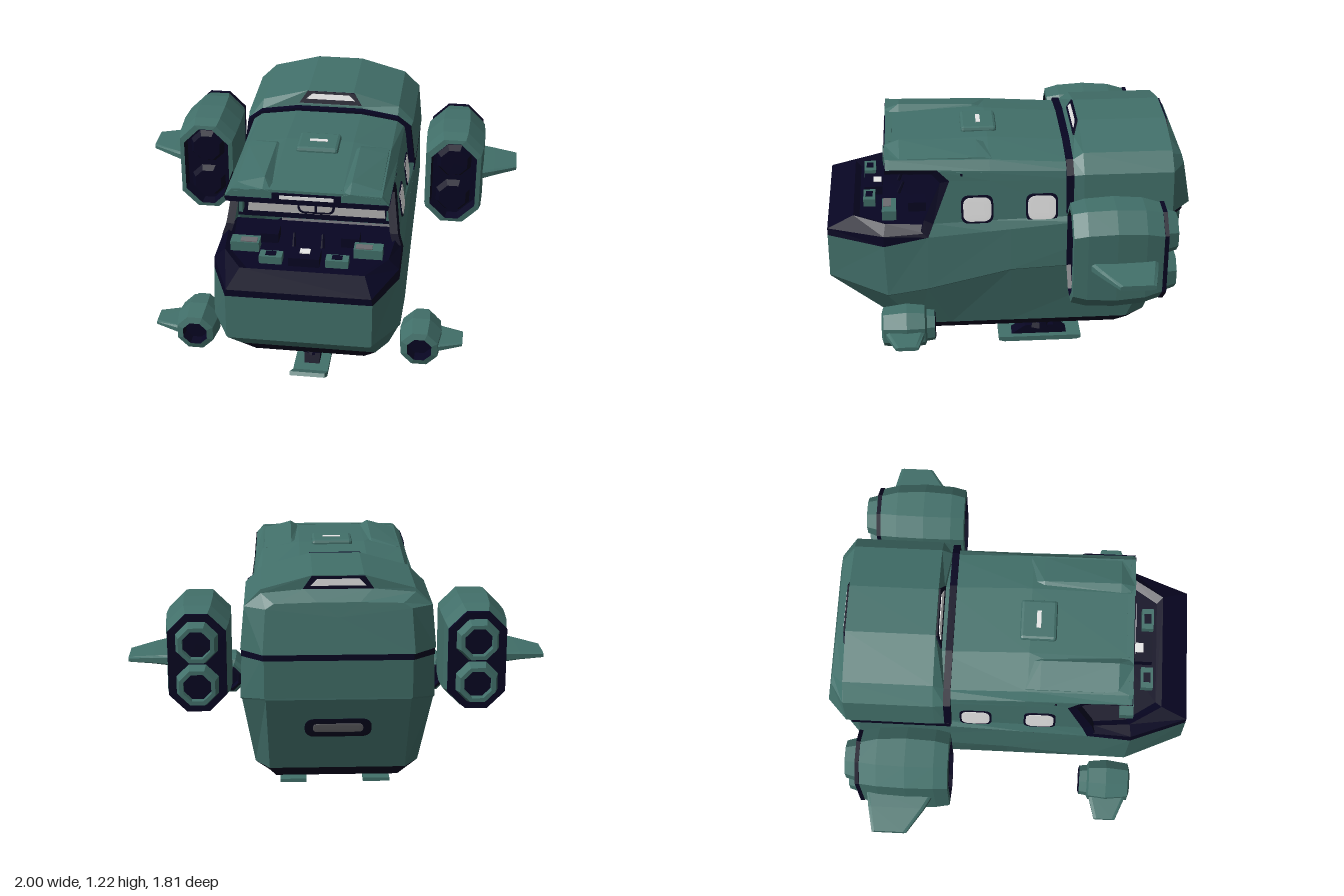
import * as THREE from 'three';
import { RoundedBoxGeometry } from 'three/addons/geometries/RoundedBoxGeometry.js';

const material = (name, color) => {
  const m = new THREE.MeshStandardMaterial({ color, side: THREE.DoubleSide });
  m.name = name;
  return m;
};

// Faceted surface through rows of [x, y, z] points
function loft(rows, { closed = true, capStart = false, capEnd = false } = {}) {
  const out = [], n = rows[0].length;
  const tri = (a, b, c) => out.push(...a, ...b, ...c);
  for (let i = 0; i < rows.length - 1; i++) {
    for (let j = 0; j < (closed ? n : n - 1); j++) {
      const k = (j + 1) % n, a = rows[i][j], b = rows[i][k], c = rows[i + 1][k], d = rows[i + 1][j];
      tri(a, b, c);
      tri(a, c, d);
    }
  }
  const cap = (row, flip) => {
    const mid = [0, 1, 2].map(q => row.reduce((s, p) => s + p[q], 0) / n);
    row.forEach((p, j) => flip ? tri(mid, row[(j + 1) % n], p) : tri(mid, p, row[(j + 1) % n]));
  };
  if (capStart) cap(rows[0], true);
  if (capEnd) cap(rows[rows.length - 1], false);
  const g = new THREE.BufferGeometry();
  g.setAttribute('position', new THREE.Float32BufferAttribute(out, 3));
  return g;
}

// Adds the mirrored half of a point row
const sym = pts => [...pts, ...pts.slice().reverse().map(([x, y, z]) => [-x, y, z])];
const atZ = (pts, z) => sym(pts.map(([x, y]) => [x, y, z]));

// Octagon with cut corners
const oct = (cx, cy, hw, hh, c, z) => [[hw, -hh + c], [hw, hh - c], [hw - c, hh], [-hw + c, hh],
  [-hw, hh - c], [-hw, -hh + c], [-hw + c, -hh], [hw - c, -hh]].map(([x, y]) => [cx + x, cy + y, z]);

const box = (w, h, d, x, y, z) => new THREE.BoxGeometry(w, h, d).translate(x, y, z);

// Extrudes a side outline of [z, y] points between two x positions
function sideExtrude(pts, x0, x1) {
  const s = new THREE.Shape(pts.map(([z, y]) => new THREE.Vector2(-z, y)));
  return new THREE.ExtrudeGeometry(s, { depth: x1 - x0, bevelEnabled: false }).rotateY(Math.PI / 2).translate(x0, 0, 0);
}

// Extrudes a front outline of [x, y] points forward from z
const frontExtrude = (pts, depth, z) => new THREE.ExtrudeGeometry(
  new THREE.Shape(pts.map(p => new THREE.Vector2(...p))), { depth, bevelEnabled: false }).translate(0, 0, z);

export function createModel() {
  const root = new THREE.Group();
  root.name = 'dropship';
  const green = material('teal green', 0x42706a);
  const dark = material('dark navy', 0x070522);
  const light = material('pale grey', 0xececec);
  const grey = material('interior grey', 0xb6b4b4);
  const smoke = material('smoky grey', 0x6c6c70);

  const add = (name, geo, mat) => {
    const g = geo.index ? geo.toNonIndexed() : geo;
    g.computeVertexNormals();
    const mesh = new THREE.Mesh(g, mat);
    mesh.name = name;
    root.add(mesh);
  };
  const addPair = (name, geo, mat) => {
    const g = geo.index ? geo.toNonIndexed() : geo;
    const m = g.clone(), p = m.attributes.position;
    for (let i = 0; i < p.count; i += 3) {
      const [a, b, c] = [0, 2, 1].map(k => new THREE.Vector3().fromBufferAttribute(g.attributes.position, i + k));
      [a, b, c].forEach((v, k) => p.setXYZ(i + k, -v.x, v.y, v.z));
    }
    add(name + 'Left', g, mat);
    add(name + 'Right', m, mat);
  };

  // Lower hull: rings of nose, shoulder, cockpit corner, middle, rear corner, tail
  const keel = sym([[.28, .15, .51], [.33, .15, .44], [.33, .15, .3], [.33, .15, 0], [.33, .15, -.55], [.3, .15, -.62]]);
  const chine = sym([[.34, .22, .57], [.40, .22, .47], [.40, .22, .3], [.40, .22, 0], [.40, .22, -.6], [.33, .22, -.70]]);
  const crease = sym([[.35, .50, .91], [.465, .435, .62], [.472, .47, .42], [.472, .568, 0], [.465, .60, -.74], [.35, .63, -.85]]);
  const underCrease = crease.map(([x, y, z]) => [x * .982, y - .008, z]);
  const sill = sym([[.35, .73, .91], [.455, .71, .63], [.455, .755, .41], [.455, .788, 0], [.455, .85, -.75], [.35, .85, -.86]]);
  add('belly', loft([keel, chine], { capStart: true }), dark);
  add('lowerHull', loft([chine, underCrease, crease, sill]), green);

  // Cockpit rim and floor
  const rimLow = sym([[.455, .755, .41], [.455, .71, .63], [.35, .73, .91]]);
  const rimMid = sym([[.447, .775, .42], [.452, .765, .63], [.345, .765, .91]]);
  const rimTop = sym([[.415, .81, .44], [.40, .81, .62], [.30, .81, .78]]);
  const floor = sym([[.40, .79, .28], [.37, .79, .60], [.27, .79, .75]]);
  add('cockpitRim', loft([rimLow, rimMid, rimTop, floor], { closed: false }), dark);
  add('cockpitFloor', loft([floor, floor], { capEnd: true }), dark);

  // Cabin walls and roof
  const cabinFront = sym([[.455, .755, .41], [.432, .82, .385], [.402, 1.04, .30], [.397, 1.09, .36], [.395, 1.105, .60], [.36, 1.14, .60], [.17, 1.148, .60]]);
  const cabinMid = sym([[.455, .78, .1], [.431, .83, .1], [.403, 1.035, .1], [.397, 1.075, .1], [.395, 1.085, .1], [.36, 1.13, .1], [.17, 1.163, .1]]);
  const cabinRear = sym([[.455, .818, -.35], [.430, .84, -.35], [.408, 1.03, -.35], [.402, 1.06, -.35], [.40, 1.07, -.35], [.36, 1.10, -.35], [.17, 1.128, -.35]]);
  add('cabin', loft([cabinRear, cabinMid, cabinFront], { closed: false }), green);
  add('roofFrontEdge', frontExtrude([[.395, 1.10], [.36, 1.143], [.17, 1.15], [-.17, 1.15], [-.36, 1.143], [-.395, 1.10]], .02, .59), green);
  const ridge = (z, lift) => [[.355, 1.11, z], [.35, 1.135 + lift * .2, z], [.21, 1.155 + lift, z], [.17, 1.14 + lift * .3, z], [.165, 1.11, z]];
  add('roofCrown', box(.33, .02, .03, 0, 1.14, .59), green);
  addPair('roofRidge', loft([ridge(.09, -.01), ridge(.16, .012), ridge(.54, .024), ridge(.612, -.004)], { capStart: true, capEnd: true }), green);
  add('roofHatch', new RoundedBoxGeometry(.21, .04, .18, 1, .015).translate(0, 1.162, .14), green);
  add('hatchPlate', box(.09, .006, .022, 0, 1.182, .14), light);

  // Dark windscreen frame
  const frameOut = [[.457, .755, .41], [.435, .82, .383], [.405, 1.04, .30], [.40, 1.10, .36], [.398, 1.105, .612]];
  const frameIn = [[.446, .785, .445], [.428, .84, .428], [.40, 1.03, .345], [.395, 1.075, .385], [.39, 1.082, .612]];
  addPair('screenFrame', loft([frameOut, frameIn, frameIn.map(([x, y, z]) => [x - .04, y, z])], { closed: false }), dark);
  add('screenHeader', box(.78, .025, .03, 0, 1.09, .60), dark);
  add('cockpitCeiling', box(.78, .008, .36, 0, 1.092, .43), dark);
  add('visorLampFrame', box(.33, .036, .008, 0, 1.118, .612), dark);
  add('visorLamp', box(.26, .018, .006, 0, 1.116, .617), light);

  // Cockpit interior: bulkhead, door, consoles and controls
  add('bulkhead', box(.80, .29, .01, 0, .93, .24), dark);
  add('bulkheadPanel', frontExtrude([[-.35, .82], [.35, .82], [.33, 1.03], [.30, 1.065], [-.30, 1.065], [-.33, 1.03]], .008, .246), grey);
  const doorPlate = (w, h, t, r, x, z) => new RoundedBoxGeometry(w, h, .2, 3, r).scale(1, 1, t / .2).translate(x, .92, z);
  add('doorFrame', doorPlate(.19, .19, .006, .035, 0, .257), dark);
  add('doorPanel', doorPlate(.165, .165, .006, .025, 0, .260), grey);
  add('doorSeam', box(.012, .16, .004, 0, .92, .264), dark);
  addPair('sideConsole', box(.14, .05, .07, .30, .838, .60), green);
  addPair('frontConsole', box(.11, .04, .06, .16, .83, .70), green);
  addPair('sideScreen', box(.08, .005, .04, .28, .866, .61), smoke);
  addPair('frontScreen', box(.05, .005, .035, .16, .853, .70), dark);
  addPair('seatBase', box(.09, .05, .09, .20, .815, .46), dark);
  addPair('wallPanel', box(.018, .19, .05, .37, .95, .31), green);
  add('centreConsole', box(.15, .045, .09, 0, .825, .68), dark);
  add('centreScreen', box(.05, .006, .04, 0, .851, .66), light);
  addPair('controlStick', new THREE.CylinderGeometry(.007, .01, .07, 6).rotateX(-.4).translate(.07, .84, .54), dark);

  // Cabin side windows lean with the wall
  for (const z of [.165, -.155]) {
    const pane = (h, w, t, off) => new RoundedBoxGeometry(.4, h, w, 3, .035).scale(t / .4, 1, 1)
      .rotateZ(.14).translate(.422 + off, .89, z);
    addPair('windowFrame', pane(.146, .158, .009, .002), dark);
    addPair('windowPane', pane(.126, .138, .009, .004), light);
  }

  // Rear upper housing, stepped down behind its crown, with dark collar and band
  const podNose = [[.456, .86], [.43, 1.06], [.36, 1.115], [.17, 1.145]];
  const podFull = [[.46, .86], [.44, 1.07], [.36, 1.15], [.12, 1.215]];
  const podStep = [[.46, .86], [.44, 1.07], [.36, 1.132], [.16, 1.15]];
  const podFront = sym([[.456, .86, -.30], [.43, 1.06, -.30], [.36, 1.115, -.31], [.17, 1.145, -.335]]);
  const podTail = sym([[.355, .86, -.90], [.34, 1.07, -.865], [.30, 1.095, -.86], [.10, 1.10, -.858]]);
  add('rearHousing', loft([podTail, atZ(podStep, -.802), atZ(podFull, -.80), atZ(podFull, -.36), podFront], { capStart: true, capEnd: true }), green);
  const collar = podNose.map(([x, y]) => [x + .002, y + .004]);
  add('housingCollar', loft([atZ(collar, -.31), atZ(collar, -.275)], { closed: false, capEnd: true }), dark);
  const band = y => sym([[.458, y, -.28], [.458, y, -.775], [.353, y, -.866]]);
  add('housingBand', loft([band(.82), band(.862)], { closed: false, capStart: true, capEnd: true }), dark);

  // Lamp strips on the front and rear faces of the housing crown
  const strip = (w, h, slope, y, z) => frontExtrude([[-w, -h], [w, -h], [w * .75, h], [-w * .75, h]], .008, -.004)
    .rotateX(slope).translate(0, y, z);
  add('frontStripFrame', strip(.165, .032, -.33, 1.184, -.343), dark);
  add('frontStripLamp', strip(.13, .014, -.33, 1.19, -.341), light);
  add('rearStripFrame', strip(.165, .03, 0, 1.181, -.805), dark);
  add('rearStripLamp', strip(.13, .016, 0, 1.183, -.808), light);

  // Tail window on the sloping rear face
  const tailPane = (w, h, off) => new RoundedBoxGeometry(w, h, .2, 3, h * .4).scale(1, 1, .04)
    .rotateX(-.35).translate(0, .46, -.785 - off);
  add('tailWindowFrame', tailPane(.32, .11, .003), dark);
  add('tailWindowPane', tailPane(.24, .05, .006), smoke);

  // Main engines
  const ex = .667, ey = .767;
  const er = (hw, hh, z) => oct(ex, ey, hw, hh, .085, z);
  addPair('engineBody', loft([er(.135, .235, -.71), er(.15, .258, -.62), er(.156, .267, -.48), er(.152, .26, -.34),
    er(.143, .245, -.272), er(.12, .225, -.268)], { capStart: true }), green);
  addPair('engineIntake', loft([er(.12, .225, -.268), er(.112, .215, -.32)], { capEnd: true }), dark);
  addPair('engineRearRing', loft([er(.139, .24, -.724), er(.139, .24, -.704)], { capStart: true, capEnd: true }), dark);
  for (const dy of [-.105, .105]) {
    const disc = (r, z) => oct(ex, ey + dy, r, r, r * .586, z);
    addPair('intakeHub', loft([disc(.09, -.32), disc(.07, -.285)], { capEnd: true }), dark);
    addPair('engineNozzle', loft([disc(.066, -.735), disc(.066, -.78), disc(.085, -.78), disc(.102, -.72)]), green);
    addPair('nozzleCore', loft([disc(.066, -.74), disc(.066, -.725)], { capStart: true }), dark);
  }

  // Small front thrusters
  const fr = (r, z) => oct(.565, .315, r, r, r * .586, z);
  addPair('thrusterBody', loft([fr(.07, .39), fr(.075, .43), fr(.094, .44), fr(.104, .53), fr(.09, .645), fr(.06, .655)]), green);
  addPair('thrusterIntake', loft([fr(.06, .655), fr(.055, .60)], { capEnd: true }), dark);
  addPair('thrusterNozzle', loft([fr(.07, .39), fr(.055, .385), fr(.05, .42)], { capEnd: true }), dark);

  // Stub wings with blunt edges
  const foil = (x, y, zr, zf, t) => [[x, y - t * .6, zr], [x, y + t * .6, zr], [x, y + t, zr + .015], [x, y + t, zf - .015],
    [x, y + t * .6, zf], [x, y - t * .6, zf], [x, y - t, zf - .015], [x, y - t, zr + .015]];
  addPair('engineWing', loft([foil(.79, ey, -.68, -.34, .027), foil(.88, ey, -.665, -.39, .02), foil(1, ey - .005, -.64, -.47, .013)], { capEnd: true }), green);
  addPair('thrusterWing', loft([foil(.64, .315, .44, .64, .022), foil(.775, .315, .475, .585, .01)], { capEnd: true }), green);

  // Landing gear: two rear skids and an upturned front ski, with dark soles
  const strut = (x, z) => [
    new THREE.CylinderGeometry(.03, .03, .11, 8).translate(x, .115, z),
    new THREE.CylinderGeometry(.06, .06, .025, 8).translate(x, .14, z),
    new THREE.CylinderGeometry(.048, .06, .03, 8).translate(x, .085, z),
  ];
  const skid = [[.05, .03], [.05, .012], [.02, .003], [-.36, .003], [-.385, .012], [-.385, .03]];
  addPair('rearSkid', sideExtrude(skid, .145, .28), green);
  addPair('rearSkidSole', box(.105, .004, .35, .2125, .002, -.17), dark);
  addPair('rearSkidFoot', sideExtrude([[-.02, .03], [-.09, .08], [-.24, .08], [-.31, .03]], .175, .25), dark);
  strut(.213, -.165).forEach(g => addPair('rearStrut', g, dark));
  add('frontSki', sideExtrude([[.24, .003], [.51, .003], [.635, .085], [.62, .1], [.50, .028], [.24, .028]], -.09, .09), green);
  add('frontSkiSole', box(.14, .004, .22, 0, .002, .375), dark);
  add('frontSkiFoot', sideExtrude([[.44, .028], [.42, .08], [.32, .08], [.30, .028]], -.04, .04), dark);
  strut(0, .37).forEach(g => add('frontStrut', g, dark));

  return root;
}
